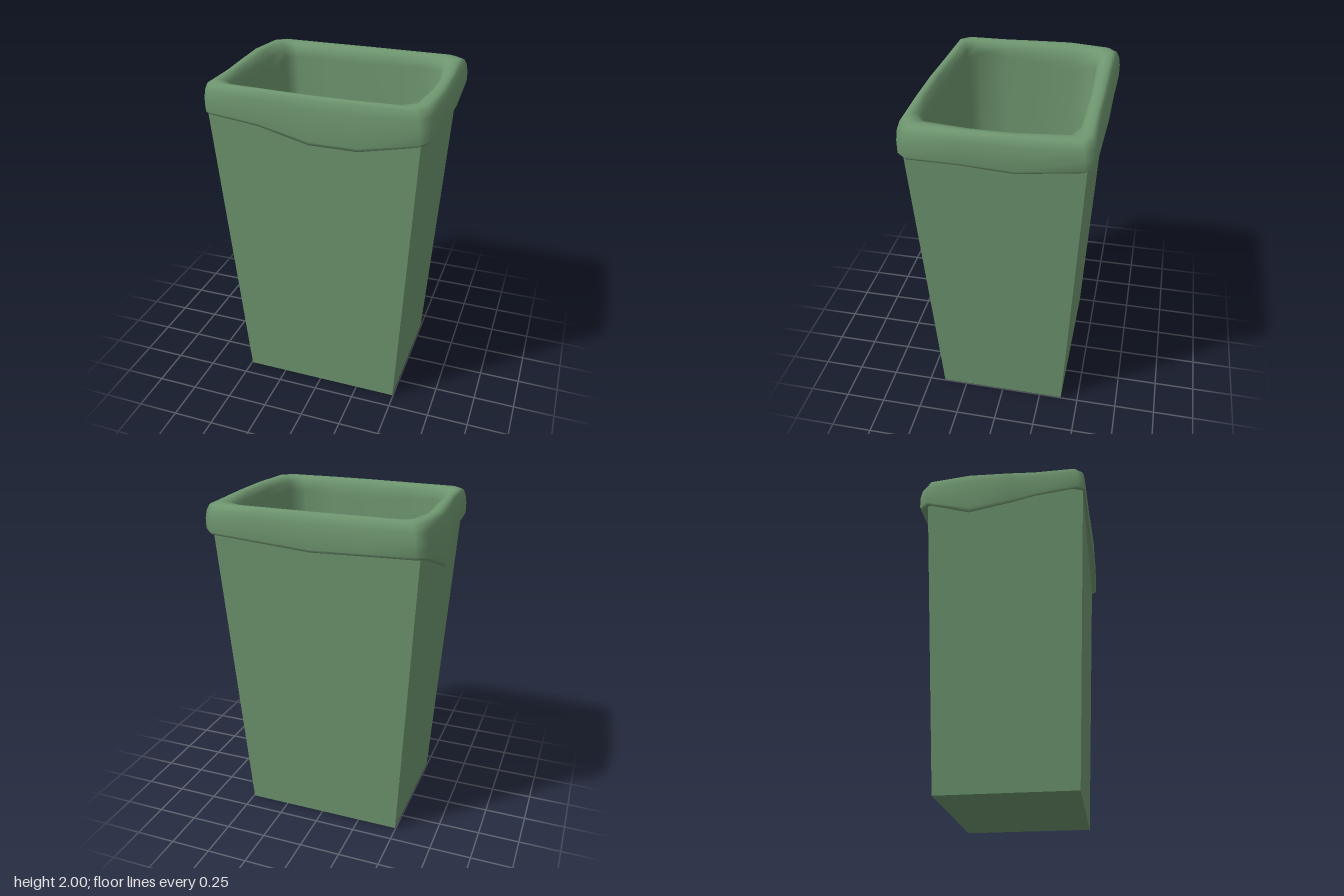
import * as THREE from 'three';

// Stations around the rim: outer x, outer z, hem height, inner x, inner z
const STATIONS = [
  [-0.61, 0.505, 1.83, -0.44, 0.41], [-0.30, 0.515, 1.80, -0.25, 0.42],
  [0.00, 0.53, 1.735, 0.00, 0.43], [0.28, 0.53, 1.735, 0.25, 0.43],
  [0.60, 0.52, 1.80, 0.43, 0.42], [0.655, 0.465, 1.81, 0.52, 0.37],
  [0.675, 0.17, 1.82, 0.555, 0.13], [0.67, -0.12, 1.80, 0.555, -0.10],
  [0.66, -0.47, 1.84, 0.52, -0.36], [0.61, -0.52, 1.83, 0.40, -0.41],
  [0.30, -0.525, 1.81, 0.20, -0.41], [0.00, -0.53, 1.79, 0.00, -0.41],
  [-0.30, -0.53, 1.80, -0.20, -0.405], [-0.59, -0.535, 1.81, -0.43, -0.40],
  [-0.645, -0.48, 1.80, -0.50, -0.37], [-0.68, -0.20, 1.69, -0.54, -0.25],
  [-0.66, 0.05, 1.75, -0.54, -0.02], [-0.64, 0.20, 1.80, -0.54, 0.17],
  [-0.64, 0.46, 1.83, -0.53, 0.36],
];

// Rolled cuff: t runs from outer (0) to inner (1), h from hem (0) to rim top (1)
const CUFF = [[0.4, 0.15], [0.06, 0], [0, 0.08], [0, 0.45], [0.06, 0.75],
  [0.17, 0.94], [0.33, 1], [0.52, 1], [0.75, 0.96], [0.92, 0.8], [1, 0.55]];

// Hanging sack inside: height and scale of the inner outline
const SACK = [[1.5, 0.97], [1.1, 0.92], [0.75, 0.86], [0.5, 0.77], [0.38, 0.6], [0.34, 0.3], [0.33, 0]];

function linerGeometry() {
  const pos = [], index = [], n = STATIONS.length;
  for (const [t, h] of CUFF) {
    for (const [ox, oz, low, ix, iz] of STATIONS) {
      pos.push(ox + (ix - ox) * t, low + (2 - low) * h, oz + (iz - oz) * t);
    }
  }
  for (const [y, s] of SACK) {
    for (const [, , , ix, iz] of STATIONS) {
      const sag = (1 - s) * 0.1 * Math.sin(4 * ix + 3 * iz);
      pos.push(ix * s, y + sag, iz * s);
    }
  }
  const rows = CUFF.length + SACK.length;
  for (let r = 0; r < rows - 1; r++) {
    for (let i = 0; i < n; i++) {
      const a = r * n + i, b = r * n + (i + 1) % n;
      index.push(a, b, b + n, a, b + n, a + n);
    }
  }
  const g = new THREE.BufferGeometry();
  g.setAttribute('position', new THREE.Float32BufferAttribute(pos, 3));
  g.setIndex(index);
  g.computeVertexNormals();
  return g;
}

export function createModel() {
  const group = new THREE.Group();
  const add = (name, geometry, options = {}) => {
    const mesh = new THREE.Mesh(geometry, new THREE.MeshStandardMaterial({
      color: 0x6f9770, side: THREE.DoubleSide, ...options }));
    mesh.name = name;
    group.add(mesh);
  };

  // Tapered four-sided bin, open at the top
  const height = 1.88;
  const walls = new THREE.CylinderGeometry(0.61 * Math.SQRT2, 0.495 * Math.SQRT2, height, 4, 1, true);
  walls.rotateY(Math.PI / 4).scale(1, 1, 0.8).translate(0, height / 2, 0.005);
  add('binWalls', walls, { flatShading: true });

  const base = new THREE.PlaneGeometry(0.99, 0.792);
  base.rotateX(Math.PI / 2).translate(0, 0, 0.005);
  add('binBase', base);

  // Bag draped over the rim and hanging inside
  add('binLiner', linerGeometry());
  return group;
}
